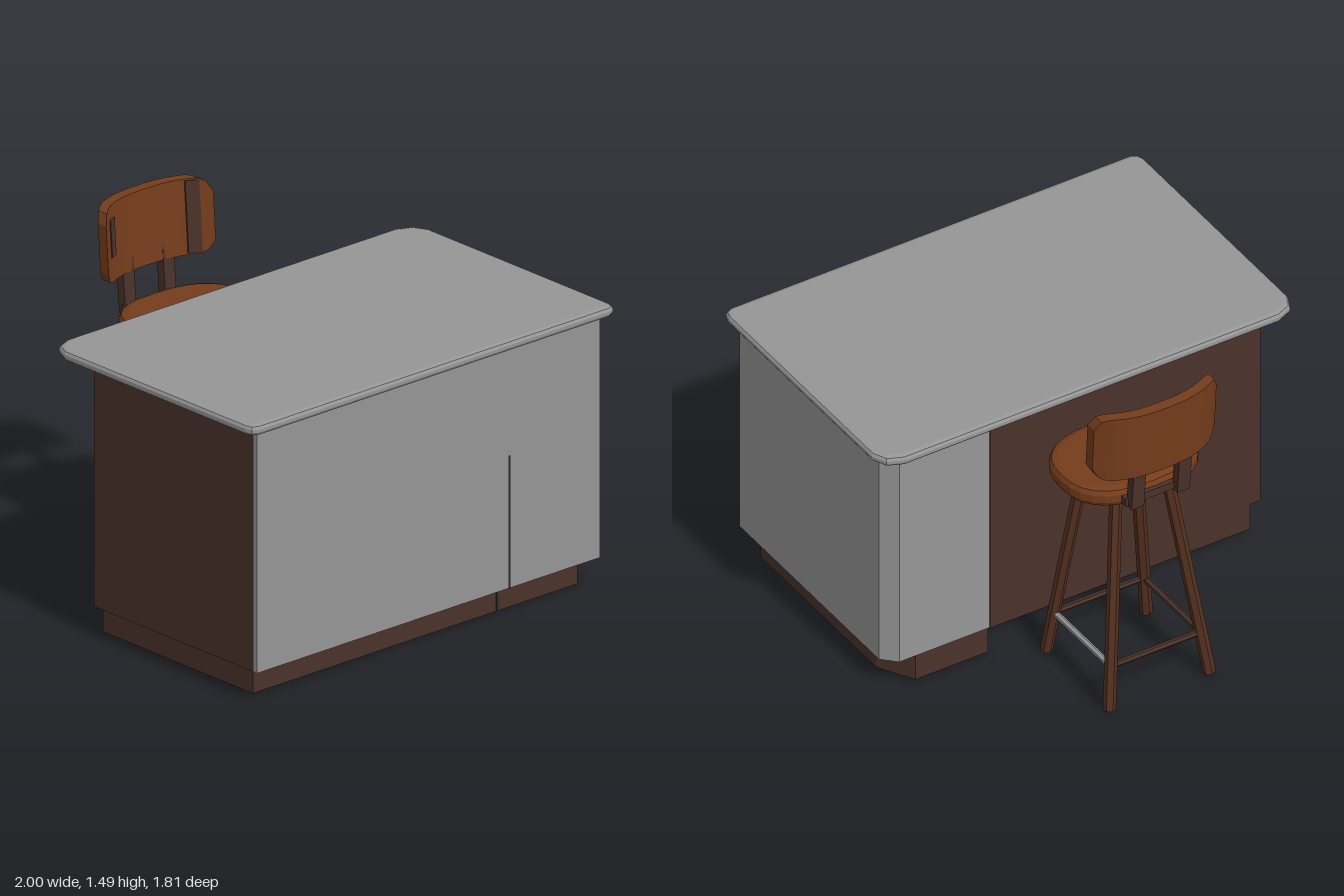
import * as THREE from 'three';

const mat = (name, color) => {
  const m = new THREE.MeshStandardMaterial({ color });
  m.name = name;
  return m;
};

export function createModel() {
  const group = new THREE.Group();
  const grey = mat('grey', 0x969696);
  const darkBrown = mat('dark brown', 0x4a322a);
  const legBrown = mat('leg brown', 0x54301f);
  const leather = mat('tan leather', 0x763d1c);
  const black = mat('gap black', 0x2c2624);

  const add = (name, geometry, material, parent = group) => {
    const mesh = new THREE.Mesh(geometry, material);
    mesh.name = name;
    parent.add(mesh);
    return mesh;
  };

  const box = (name, w, h, d, x, y, z, material, parent) => {
    const mesh = add(name, new THREE.BoxGeometry(w, h, d), material, parent);
    mesh.position.set(x, y, z);
    return mesh;
  };

  // Upright slab from a plan outline of [x, z] points; the bevel stays inside the outline height
  const slab = (points, y0, y1, bevelSize = 0, bevelThickness = 0) => {
    const shape = new THREE.Shape(points.map(([x, z]) => new THREE.Vector2(x, -z)));
    const g = new THREE.ExtrudeGeometry(shape, {
      depth: y1 - y0 - 2 * bevelThickness,
      bevelEnabled: bevelSize > 0,
      bevelSize, bevelThickness, bevelOffset: -bevelSize, bevelSegments: 2,
    });
    g.rotateX(-Math.PI / 2);
    g.translate(0, y0 + bevelThickness, 0);
    return g;
  };

  // Straight faceted rod between two points
  const rod = (name, a, b, r, material, parent) => {
    const dir = b.clone().sub(a);
    const g = new THREE.CylinderGeometry(r, r, dir.length(), 6).toNonIndexed();
    g.computeVertexNormals();
    const mesh = add(name, g, material, parent);
    mesh.position.copy(a).add(b).multiplyScalar(0.5);
    mesh.quaternion.setFromUnitVectors(new THREE.Vector3(0, 1, 0), dir.normalize());
  };

  // Counter: plinth and cabinet with a recessed back, grey wrap with a deeper cut-corner wing, top
  const recess = -0.125;
  add('plinth', slab([
    [-0.89, 0.78], [0.89, 0.78], [0.89, -0.1], [0.8, -0.255],
    [0.45, -0.255], [0.45, recess], [-0.89, recess],
  ], 0.005, 0.13), darkBrown);
  add('cabinet', slab([
    [-0.94, 0.84], [0.45, 0.84], [0.45, recess], [-0.94, recess],
  ], 0.13, 1.19), darkBrown);
  add('greyPanels', slab([
    [-0.94, 0.86], [0.94, 0.86], [0.94, -0.2], [0.88, -0.26],
    [0.45, -0.26], [0.45, 0.84], [-0.94, 0.84],
  ], 0.13, 1.19), grey);
  box('wingSide', 0.008, 1.06, 0.134, 0.446, 0.66, -0.192, darkBrown);
  add('counterTop', slab([
    [-0.96, 0.9], [0.96, 0.9], [0.99, 0.885], [1, 0.85],
    [1, -0.24], [0.97, -0.305], [0.9, -0.335],
    [-0.9, -0.335], [-0.97, -0.305], [-1, -0.24],
    [-1, 0.85], [-0.99, 0.885],
  ], 1.185, 1.23, 0.025, 0.016), grey);
  box('panelGap', 0.01, 0.58, 0.004, 0.443, 0.42, 0.86, black);
  box('plinthGap', 0.012, 0.12, 0.004, 0.45, 0.067, 0.78, black);

  // Stool
  const stool = new THREE.Group();
  stool.name = 'stool';
  group.add(stool);

  // Seat: squarish oval with a bevelled rim
  const oval = [];
  for (let i = 0; i < 28; i++) {
    const a = (i / 28) * Math.PI * 2, c = Math.cos(a), s = Math.sin(a);
    oval.push([
      0.307 * Math.sign(c) * Math.abs(c) ** 0.78,
      -0.573 + 0.238 * Math.sign(s) * Math.abs(s) ** 0.82,
    ]);
  }
  add('seat', slab(oval, 0.966, 1.055, 0.035, 0.028), leather, stool);

  // Splayed legs with rungs between neighbours
  const legs = [[1, 1], [1, -1], [-1, -1], [-1, 1]].map(([sx, sz]) => {
    const foot = new THREE.Vector3(0.24 * sx, 0.003, -0.605 + 0.24 * sz);
    const top = new THREE.Vector3(0.12 * sx, 0.98, -0.588 + 0.118 * sz);
    rod('leg', foot, top, 0.027, legBrown, stool);
    return foot.clone().lerp(top, 0.2);
  });
  legs.forEach((p, i) => {
    rod('rung', p, legs[(i + 1) % 4], 0.014, i === 0 ? grey : darkBrown, stool);
  });

  // Bent, leaning back shell; local x runs across the stool, local y up
  const bend = (g) => {
    const p = g.attributes.position;
    for (let i = 0; i < p.count; i++) {
      const x = p.getX(i), t = Math.max(0, (Math.abs(x) - 0.225) / 0.075);
      const y = p.getY(i) * (1 - 0.36 * (1 - Math.sqrt(Math.max(0, 1 - t * t))));
      const curve = 0.09 * (Math.abs(x) / 0.3) ** 2.6;
      p.setXYZ(i, x * (1 - 0.02 * t), 1.323 + y, p.getZ(i) - 0.872 + curve - 0.07 * y);
    }
    const flat = g.toNonIndexed();
    flat.computeVertexNormals();
    return flat;
  };
  add('backrest', bend(new THREE.BoxGeometry(0.6, 0.325, 0.05, 24, 4, 1)), leather, stool);

  // Dark patches on the front of the backrest
  [[0.22, 0, 0.055, 0.31], [-0.22, 0.025, 0.04, 0.16]].forEach(([x, y, w, h]) => {
    const g = new THREE.BoxGeometry(w, h, 0.008, 4, 2, 1);
    g.translate(x, y, 0.0275);
    add('backrestPatch', bend(g), darkBrown, stool);
  });

  // Leaning posts and the rail that ties them to the seat
  for (const x of [-0.11, 0.11]) {
    box('backPost', 0.06, 0.24, 0.04, x, 1.105, -0.846, darkBrown, stool).rotation.x = -0.09;
  }
  box('backRail', 0.3, 0.035, 0.05, 0, 1.008, -0.805, darkBrown, stool);

  return group;
}
